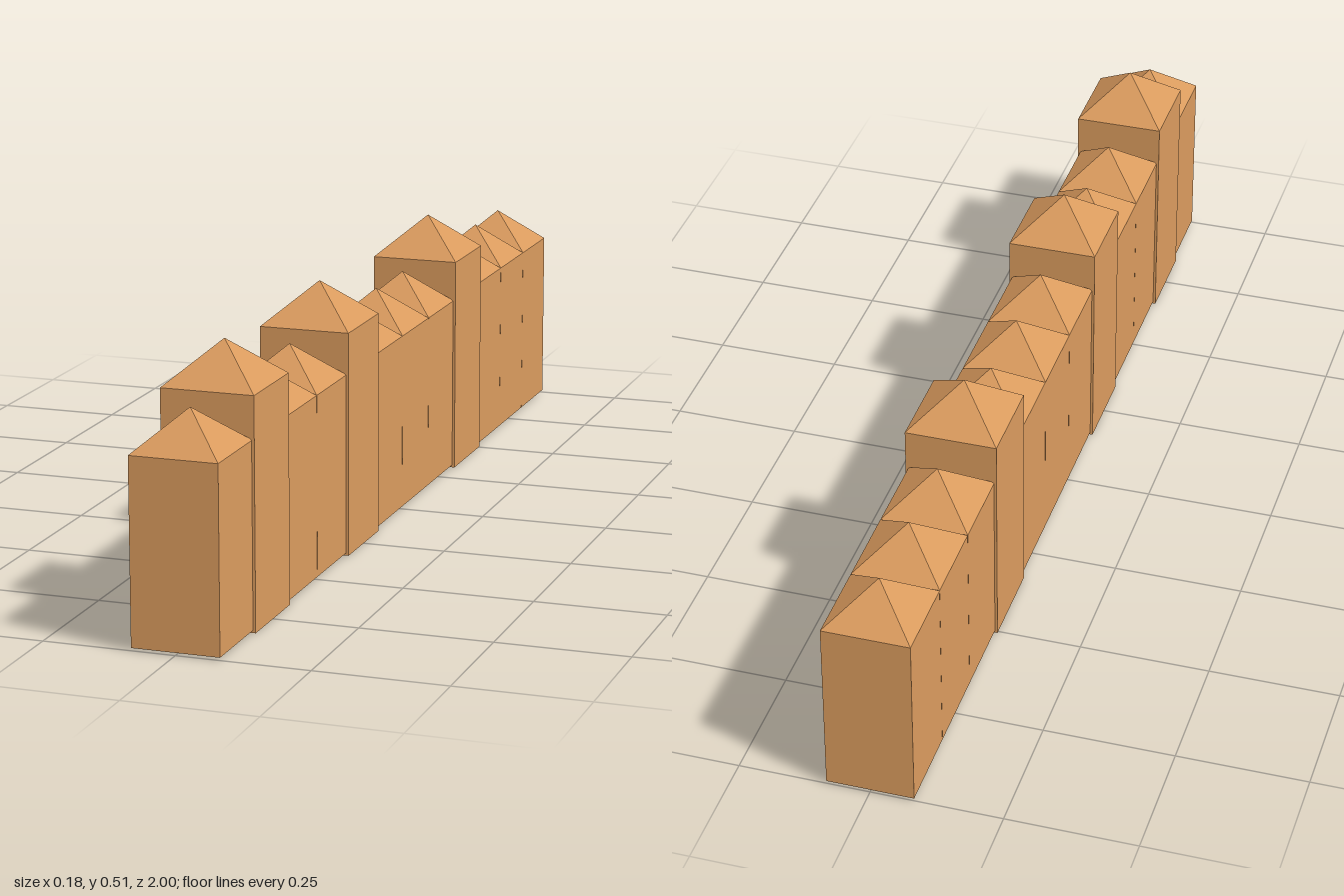
import * as THREE from 'three';

const POSTS = 12;
const SPACING = 1 / 6;
const TALL = new Set([1, 4, 8]); // counted from the front (+z)

const SHORT_SIZE = { width: 0.166, bottom: 0.005, eave: 0.352, peak: 0.425 };
const TALL_SIZE = { width: 0.176, bottom: 0, eave: 0.433, peak: 0.51 };

// Square post with a pyramid cap
function makePost({ width, bottom, eave, peak }, material) {
  const post = new THREE.Group();

  const shaft = new THREE.Mesh(new THREE.BoxGeometry(width, eave - bottom, width), material);
  shaft.name = 'shaft';
  shaft.position.y = (eave + bottom) / 2;

  const pyramid = new THREE.ConeGeometry(width / Math.SQRT2, peak - eave, 4, 1, true, Math.PI / 4)
    .toNonIndexed();
  pyramid.computeVertexNormals(); // flat faces
  const cap = new THREE.Mesh(pyramid, material);
  cap.name = 'pyramidCap';
  cap.position.y = (eave + peak) / 2;

  post.add(shaft, cap);
  return post;
}

export function createModel() {
  const wood = new THREE.MeshStandardMaterial({ color: 0xda9b5e });
  wood.name = 'wood';

  const wall = new THREE.Group();
  wall.name = 'palisade';

  // Row of posts running from front to back
  for (let i = 0; i < POSTS; i++) {
    const tall = TALL.has(i);
    const post = makePost(tall ? TALL_SIZE : SHORT_SIZE, wood);
    post.name = tall ? 'tallPost' : 'shortPost';
    post.position.z = ((POSTS - 1) / 2 - i) * SPACING;
    wall.add(post);
  }
  return wall;
}
